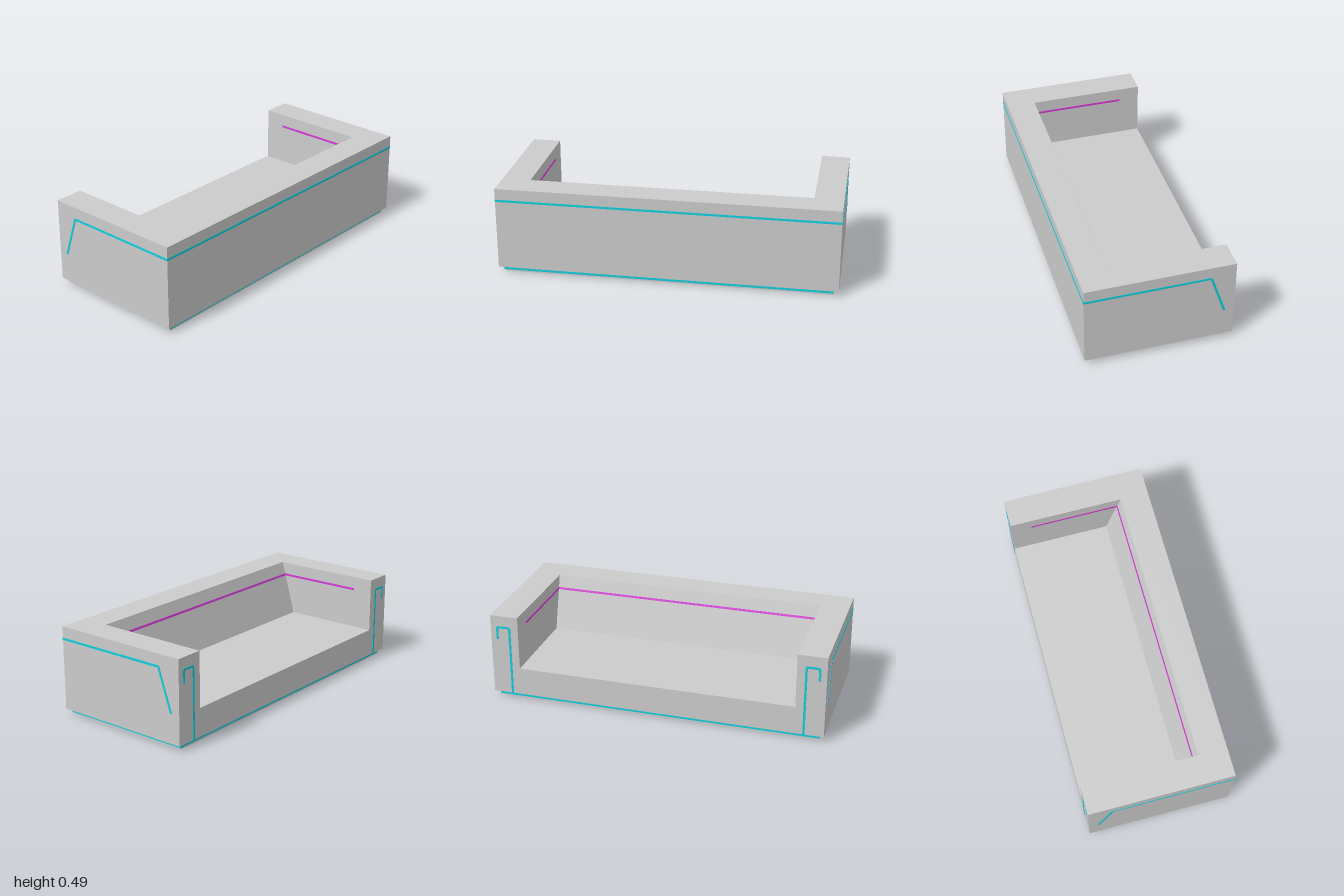
import * as THREE from 'three';

const HALF_L = 0.919, HALF_D = 0.394, TOP = 0.485, FLOOR = 0.03;
const SEAT_Y = 0.185, ARM_IN = 0.763, BACK_LOW = 0.151, BACK_HIGH = 0.237;
const GLOW_Y = 0.418, INNER_Y = 0.412;

const grey = new THREE.MeshStandardMaterial({ color: 0xcccccc, flatShading: true });
const cyan = new THREE.MeshStandardMaterial({ color: 0x14cddc });
const magenta = new THREE.MeshStandardMaterial({ color: 0xd63ad6 });

function box(name, w, h, d, x, y, z, material) {
  const mesh = new THREE.Mesh(new THREE.BoxGeometry(w, h, d), material);
  mesh.position.set(x, y, z);
  mesh.name = name;
  return mesh;
}

// Thin light strip following a polyline that lies on a flat face.
function strip(name, points, normal, material, width = 0.012) {
  const group = new THREE.Group();
  group.name = name;
  const n = new THREE.Vector3(...normal).normalize();
  for (let i = 0; i < points.length - 1; i++) {
    const a = new THREE.Vector3(...points[i]), b = new THREE.Vector3(...points[i + 1]);
    const dir = b.clone().sub(a);
    const length = dir.length();
    dir.normalize();
    const side = n.clone().cross(dir);
    const mesh = new THREE.Mesh(new THREE.BoxGeometry(length, width, 0.004), material);
    mesh.quaternion.setFromRotationMatrix(new THREE.Matrix4().makeBasis(dir, side, n));
    mesh.position.copy(a).add(b).multiplyScalar(0.5);
    mesh.name = name + 'Segment';
    group.add(mesh);
  }
  return group;
}

export function createModel() {
  const model = new THREE.Group();
  model.name = 'sofa';
  const sofa = new THREE.Group();
  sofa.name = 'sofaBody';
  sofa.rotation.y = 0.368; // the sofa stands at an angle
  model.add(sofa);

  // Seat and sloping backrest as one side profile, run between the arms
  const profile = new THREE.Shape([
    [-HALF_D, FLOOR], [HALF_D, FLOOR], [HALF_D, TOP],
    [BACK_HIGH, TOP], [BACK_LOW, SEAT_Y], [-HALF_D, SEAT_Y],
  ].map(([z, y]) => new THREE.Vector2(-z, y)));
  const seatGeometry = new THREE.ExtrudeGeometry(profile, { depth: ARM_IN * 2, bevelEnabled: false });
  seatGeometry.translate(0, 0, -ARM_IN).rotateY(Math.PI / 2);
  // rotateY(90) maps profile x to -z
  const seat = new THREE.Mesh(seatGeometry, grey);
  seat.name = 'seatAndBackrest';
  sofa.add(seat);

  // Plinth with a light band around it
  const baseL = (HALF_L - 0.028) * 2, baseD = (HALF_D - 0.021) * 2;
  sofa.add(box('plinth', baseL, FLOOR, baseD, 0, FLOOR / 2, 0, grey));
  sofa.add(box('plinthLight', baseL + 0.004, 0.015, baseD + 0.004, 0, 0.0155, 0, cyan));

  // Light across the outside of the backrest
  sofa.add(strip('backLight', [[-HALF_L, GLOW_Y, HALF_D], [HALF_L, GLOW_Y, HALF_D]], [0, 0, 1], cyan));

  // Light across the sloping inside of the backrest
  const t = (INNER_Y - SEAT_Y) / (TOP - SEAT_Y);
  const innerZ = BACK_LOW + t * (BACK_HIGH - BACK_LOW);
  sofa.add(strip('backrestInnerLight', [[-ARM_IN, INNER_Y, innerZ], [ARM_IN, INNER_Y, innerZ]],
    [0, BACK_HIGH - BACK_LOW, -(TOP - SEAT_Y)], magenta));

  for (const s of [-1, 1]) {
    const side = s > 0 ? 'left' : 'right';
    // Arm block
    sofa.add(box(side + 'Arm', HALF_L - ARM_IN, TOP - FLOOR, HALF_D * 2,
      s * (HALF_L + ARM_IN) / 2, (TOP + FLOOR) / 2, 0, grey));
    // Outer light with a slanted tail
    sofa.add(strip(side + 'ArmOuterLight', [
      [s * HALF_L, GLOW_Y, HALF_D], [s * HALF_L, GLOW_Y, -0.264], [s * HALF_L, 0.19, -0.342],
    ], [s, 0, 0], cyan));
    // Hook-shaped light on the end of the arm
    sofa.add(strip(side + 'ArmEndLight', [
      [s * 0.812, FLOOR, -HALF_D], [s * 0.812, 0.42, -HALF_D],
      [s * 0.882, 0.42, -HALF_D], [s * 0.882, 0.35, -HALF_D],
    ], [0, 0, -1], cyan));
    // Inner light along the arm
    sofa.add(strip(side + 'ArmInnerLight', [
      [s * ARM_IN, INNER_Y, innerZ], [s * ARM_IN, INNER_Y, -0.28],
    ], [-s, 0, 0], magenta));
  }
  return model;
}
